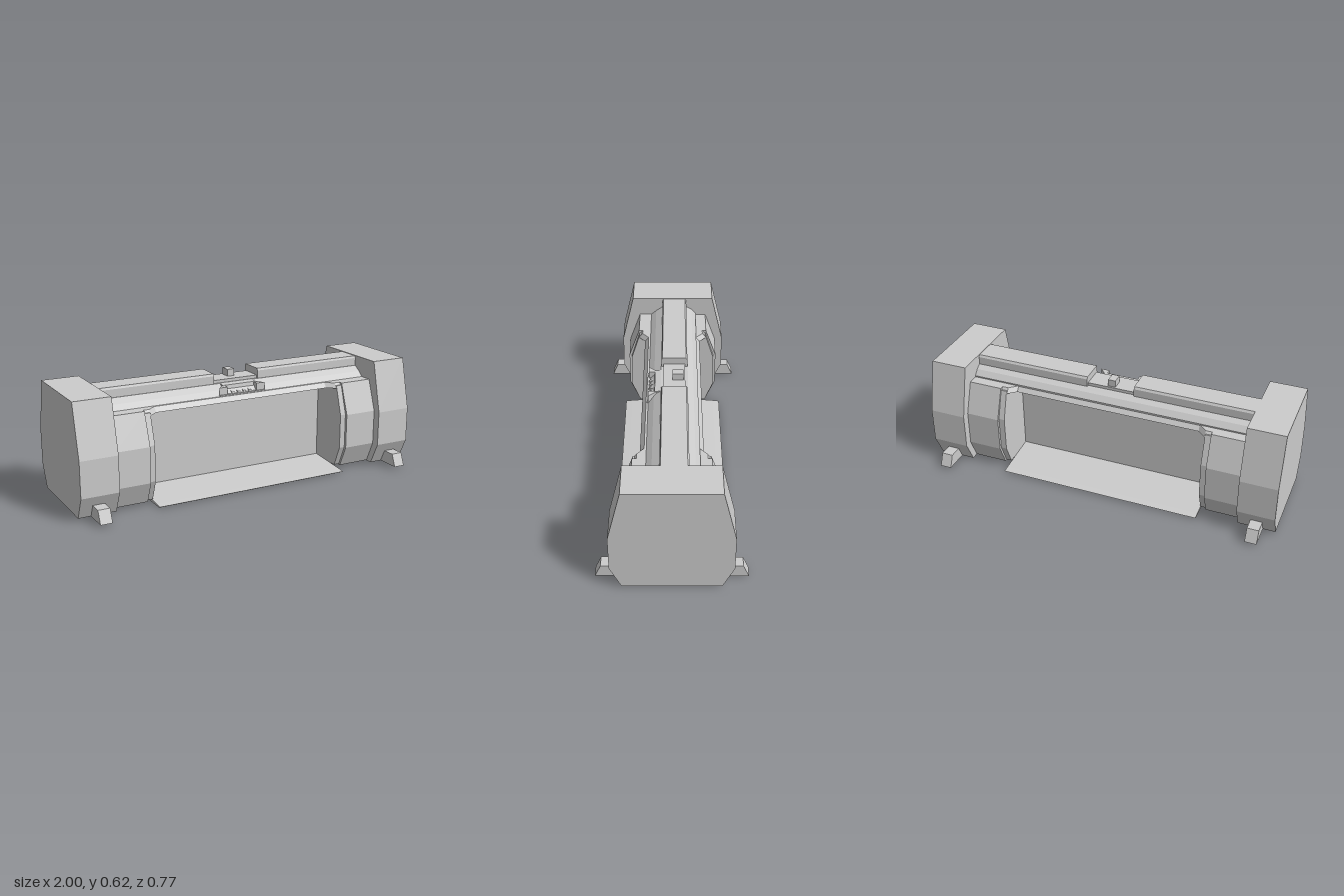
import * as THREE from 'three';

const material = new THREE.MeshStandardMaterial({ color: 0xcccccc, flatShading: true });

export function createModel() {
  const root = new THREE.Group();

  const add = (name, geometry, x = 0, y = 0, z = 0) => {
    const mesh = new THREE.Mesh(geometry, material);
    mesh.name = name;
    mesh.position.set(x, y, z);
    root.add(mesh);
    return mesh;
  };
  // Box given by its minimum and maximum corners
  const box = (name, x0, x1, y0, y1, z0, z1) =>
    add(name, new THREE.BoxGeometry(x1 - x0, y1 - y0, z1 - z0),
      (x0 + x1) / 2, (y0 + y1) / 2, (z0 + z1) / 2);
  const extrude = (points, depth) => new THREE.ExtrudeGeometry(
    new THREE.Shape(points.map(p => new THREE.Vector2(...p))), { depth, bevelEnabled: false });
  // Cross-section of [z, y] points swept along x
  const sweep = (name, points, x0, x1) =>
    add(name, extrude(points, x1 - x0).rotateY(-Math.PI / 2).translate(x1, 0, 0));
  // Half profile mirrored in z to make a closed cross-section
  const mirrored = half => [...half, ...half.map(([z, y]) => [-z, y]).reverse()];

  const endProfile = mirrored([[0.25, 0.013], [0.308, 0.135], [0.308, 0.33], [0.24, 0.615]]);
  const collarProfile = mirrored([[0.21, 0.015], [0.262, 0.135], [0.262, 0.33], [0.2, 0.503]]);
  const jambProfile = mirrored([[0.2, 0.02], [0.247, 0.135], [0.247, 0.33], [0.197, 0.49]]);
  const footProfile = [[0.24, 0.013], [0.385, 0.013], [0.355, 0.082], [0.24, 0.082]];

  // End housings, stepped collars and feet
  for (const s of [-1, 1]) {
    const side = s > 0 ? 'left' : 'right';
    const span = (name, profile, a, b) =>
      sweep(name, profile, Math.min(s * a, s * b), Math.max(s * a, s * b));
    span(side + 'EndHousing', endProfile, 0.795, 1);
    span(side + 'Collar', collarProfile, 0.605, 0.795);
    span(side + 'Jamb', jambProfile, 0.572, 0.605);
    for (const f of [1, -1]) {
      const points = footProfile.map(([z, y]) => [z * f, y]);
      span(side + (f > 0 ? 'FrontFoot' : 'BackFoot'), points, 0.868, 0.932);
    }
  }

  // Thin floor and the upright panel dividing the two bays
  sweep('floor', mirrored([[0.1, 0.013], [0.145, 0], [0.28, 0], [0.29, 0.006], [0.25, 0.011], [0.012, 0.032]]),
    -0.572, 0.572);
  box('dividingPanel', -0.572, 0.572, 0.02, 0.443, -0.012, 0.012);

  // Stepped roof beam and its raised cover, interrupted at the middle
  sweep('roofBeam', [[-0.14, 0.476], [0.13, 0.476], [0.13, 0.503], [0.1, 0.53], [0.062, 0.556],
    [-0.085, 0.556], [-0.115, 0.54], [-0.14, 0.51]], -0.795, 0.795);
  for (const [a, b] of [[-0.795, -0.135], [0.135, 0.795]])
    sweep('roofCover', [[-0.083, 0.55], [0.06, 0.55], [0.06, 0.6], [0.055, 0.612],
      [-0.075, 0.612], [-0.083, 0.6]], a, b);
  box('roofRecess', -0.135, 0.135, 0.55, 0.573, -0.07, 0.05);
  box('roofButton', -0.021, 0.021, 0.57, 0.612, -0.06, 0);

  // Roof lip flaring out to meet the collars, with a sloped edge
  const lip = extrude([[-0.615, -0.2], [-0.57, -0.2], [-0.525, -0.163], [0.525, -0.163], [0.57, -0.2], [0.615, -0.2],
    [0.615, 0.2], [0.57, 0.2], [0.525, 0.16], [-0.525, 0.16], [-0.57, 0.2], [-0.615, 0.2]], 0.027);
  lip.rotateX(-Math.PI / 2).translate(0, 0.476, 0);
  const p = lip.attributes.position;
  for (let i = 0; i < p.count; i++)
    if (p.getY(i) > 0.49) p.setZ(i, p.getZ(i) - Math.sign(p.getZ(i)) * 0.022);
  lip.computeVertexNormals();
  add('roofLip', lip);

  // Front latch: base, side cheeks, sloped hood and four ribs
  box('latchBase', -0.137, 0.137, 0.485, 0.51, 0.08, 0.137);
  for (const s of [-1, 1]) {
    const cheek = extrude(s > 0
      ? [[0.09, -0.075], [0.14, -0.13], [0.09, -0.13]].reverse()
      : [[-0.09, -0.075], [-0.14, -0.13], [-0.09, -0.13]], 0.045);
    add('latchCheek', cheek.rotateX(-Math.PI / 2), 0, 0.505, 0);
  }
  sweep('latchHood', [[0.06, 0.52], [0.1, 0.52], [0.095, 0.552], [0.06, 0.556]], -0.1, 0.1);
  for (let i = 0; i < 4; i++) {
    const x = -0.052 + i * 0.035;
    sweep('latchRib', [[0.09, 0.505], [0.132, 0.505], [0.125, 0.518], [0.09, 0.53]], x - 0.008, x + 0.008);
  }

  return root;
}
